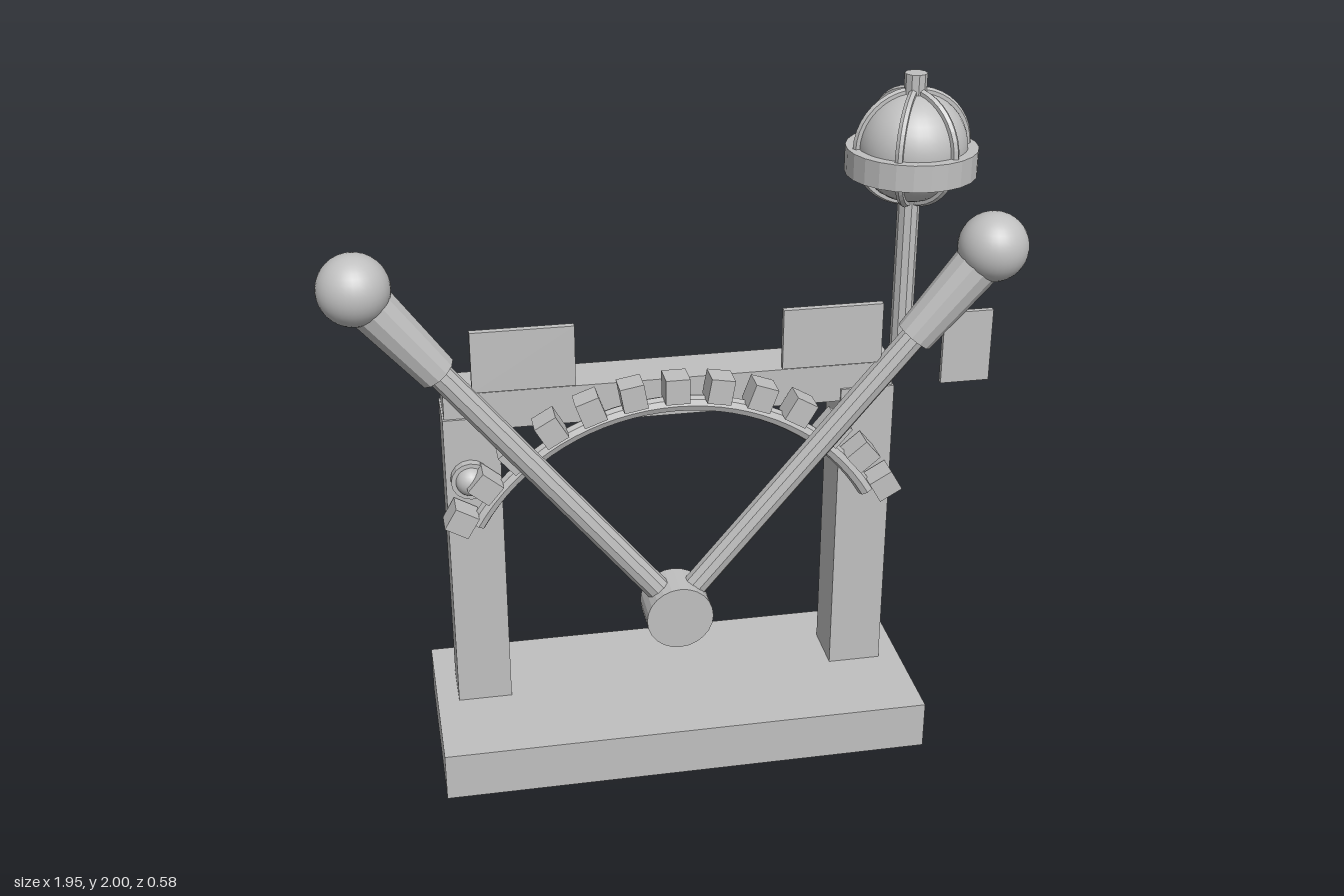
import * as THREE from 'three';

export function createModel() {
  const model = new THREE.Group();
  model.name = 'leverStand';

  // One grey throughout: a faceted and a smooth finish share it via normals
  const grey = new THREE.MeshStandardMaterial({ color: 0xc0c0c0 });
  grey.name = 'plainGrey';

  const add = (name, geometry, x = 0, y = 0, z = 0, parent = model) => {
    const mesh = new THREE.Mesh(geometry, grey);
    mesh.name = name;
    mesh.position.set(x, y, z);
    parent.add(mesh);
    return mesh;
  };
  const faceted = (geometry) => {
    const g = geometry.toNonIndexed();
    g.computeVertexNormals();
    return g;
  };
  // Box given by its limits on each axis
  const block = (name, x0, x1, y0, y1, z0, z1) =>
    add(name, new THREE.BoxGeometry(x1 - x0, y1 - y0, z1 - z0),
      (x0 + x1) / 2, (y0 + y1) / 2, (z0 + z1) / 2);
  // Faceted rod between two points
  const rod = (name, a, b, r0, r1, sides) => {
    const dir = b.clone().sub(a);
    const mid = a.clone().add(b).multiplyScalar(0.5);
    const mesh = add(name, faceted(new THREE.CylinderGeometry(r1, r0, dir.length(), sides)), mid.x, mid.y, mid.z);
    mesh.quaternion.setFromUnitVectors(new THREE.Vector3(0, 1, 0), dir.normalize());
    return mesh;
  };

  // Base and frame
  block('base', -0.725, 0.725, 0, 0.147, -0.29, 0.29);
  block('leftPost', 0.5, 0.66, 0.147, 1.09, -0.15, 0.008);
  block('rightPost', -0.66, -0.5, 0.147, 1.09, -0.15, 0.008);
  block('crossBeam', -0.655, 0.655, 1.05, 1.165, -0.152, 0);

  // Pivot hub
  const pivotY = 0.44;
  const hub = add('pivotHub', faceted(new THREE.CylinderGeometry(0.1, 0.1, 0.125, 24)), 0, pivotY, 0.07);
  hub.rotation.x = Math.PI / 2;

  // Quadrant arc with teeth every ten degrees
  const arc = add('quadrantArc', faceted(new THREE.TorusGeometry(0.667, 0.024, 8, 32, Math.PI * 2 / 3)), 0, pivotY, 0.045);
  arc.rotation.z = Math.PI / 6;
  for (let deg = 30; deg <= 150; deg += 10) {
    const a = THREE.MathUtils.degToRad(deg);
    const tooth = add('quadrantTooth', new THREE.BoxGeometry(0.075, 0.07, 0.077),
      0.722 * Math.cos(a), pivotY + 0.722 * Math.sin(a), 0.054);
    tooth.rotation.z = a;
  }

  // Pair of levers leaning outward and slightly forward
  for (const [side, s] of [['left', 1], ['right', -1]]) {
    const foot = new THREE.Vector3(0, pivotY, 0.062);
    const top = new THREE.Vector3(0.877 * s, 1.56, 0.148);
    const at = (t) => foot.clone().lerp(top, t);
    rod(side + 'LeverRod', at(0.04), at(0.95), 0.037, 0.037, 10);
    rod(side + 'LeverGrip', at(0.765), at(0.985), 0.056, 0.07, 12);
    add(side + 'LeverKnob', new THREE.SphereGeometry(0.099, 32, 20), top.x, top.y, top.z);
  }

  // Small push button on the right post
  const collar = add('buttonCollar', faceted(new THREE.CylinderGeometry(0.057, 0.057, 0.028, 16)), -0.59, 0.905, 0.02);
  collar.rotation.x = Math.PI / 2;
  add('buttonDome', new THREE.SphereGeometry(0.045, 20, 14), -0.59, 0.905, 0.025);

  // Sign plates
  block('leftPlate', 0.293, 0.58, 1.222, 1.4, 0.1, 0.12);
  block('rightPlate', -0.58, -0.293, 1.222, 1.4, 0.1, 0.12);
  block('sidePlate', 0.745, 0.887, 1.162, 1.377, 0.15, 0.166);

  // Caged globe on its pole
  const lamp = new THREE.Group();
  lamp.name = 'globeLamp';
  lamp.position.set(0.697, 0, -0.072);
  model.add(lamp);
  add('lampPole', faceted(new THREE.CylinderGeometry(0.032, 0.032, 0.838, 10)), 0, 1.581, 0, lamp);
  add('lampGlobe', new THREE.SphereGeometry(0.156, 32, 20), 0, 1.79, 0, lamp);
  for (let i = 0; i < 3; i++) {
    const rib = add('cageRib', faceted(new THREE.TorusGeometry(0.16, 0.012, 6, 40)), 0, 1.79, 0, lamp);
    rib.rotation.y = i * Math.PI / 3;
  }
  const ringProfile = [[0.155, -0.038], [0.187, -0.038], [0.187, 0.038], [0.155, 0.038], [0.155, -0.038]]
    .map(([r, y]) => new THREE.Vector2(r, y));
  add('cageRing', faceted(new THREE.LatheGeometry(ringProfile, 24)), 0, 1.754, 0, lamp);

  return model;
}
